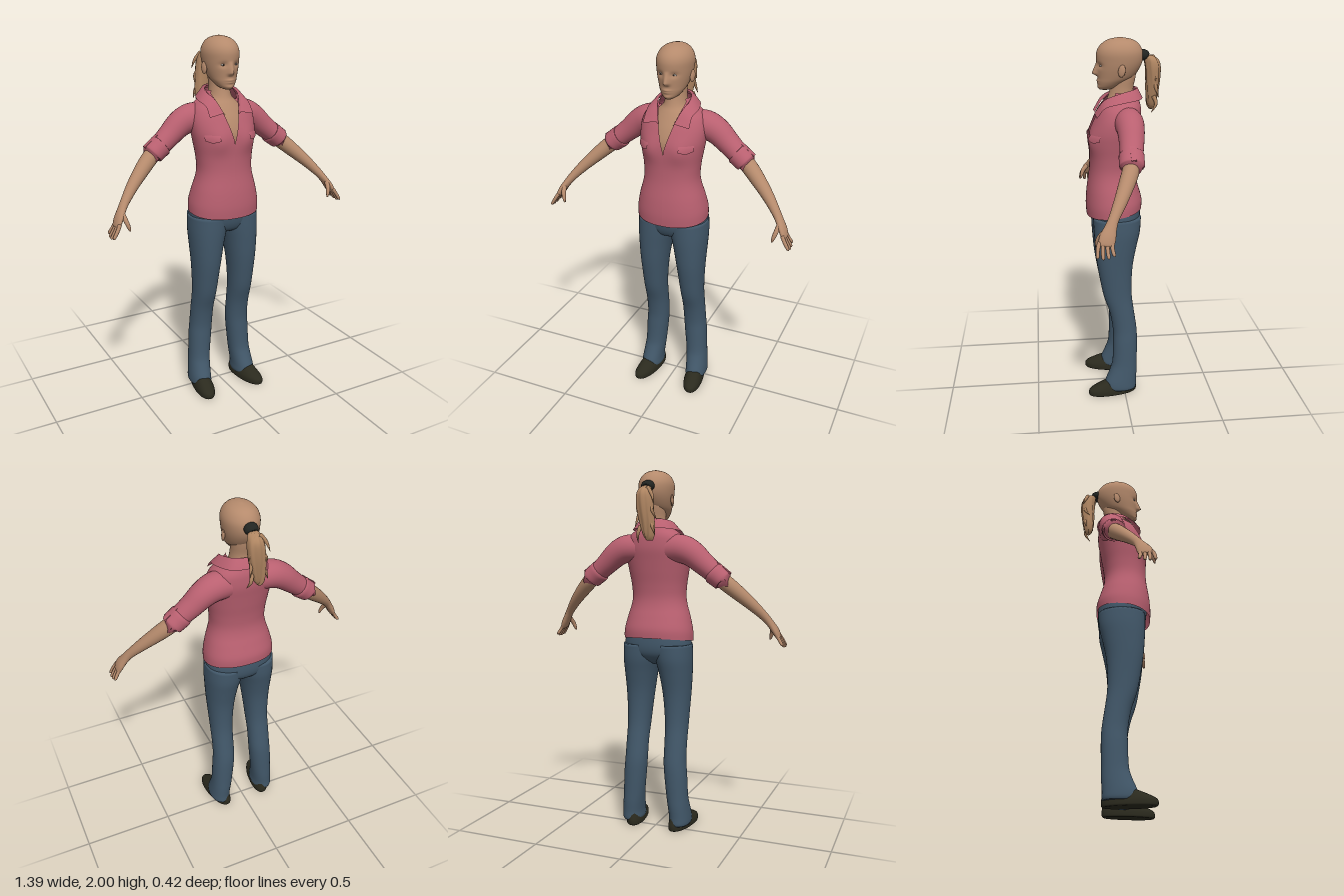
import * as THREE from 'three';

const mat = (name, color, side = THREE.FrontSide) => {
  const m = new THREE.MeshStandardMaterial({ color, side });
  m.name = name;
  return m;
};
const V = (x, y, z) => new THREE.Vector3(x, y, z);

// Surface through a list of point rings, optionally closed around and capped at the ends
function skin(rings, closed = true, capStart = false, capEnd = false) {
  const n = rings[0].length, pos = [], idx = [];
  rings.forEach(r => r.forEach(p => pos.push(p.x, p.y, p.z)));
  for (let i = 0; i < rings.length - 1; i++)
    for (let j = 0; j < (closed ? n : n - 1); j++) {
      const k = (j + 1) % n, a = i * n + j, b = i * n + k;
      idx.push(a, b, b + n, a, b + n, a + n);
    }
  const cap = (ring, start, flip) => {
    const c = ring.reduce((s, p) => s.add(p), V(0, 0, 0)).divideScalar(n);
    const ci = pos.length / 3;
    pos.push(c.x, c.y, c.z);
    for (let j = 0; j < n; j++) {
      const a = start + j, b = start + (j + 1) % n;
      idx.push(...(flip ? [b, a, ci] : [a, b, ci]));
    }
  };
  if (capStart) cap(rings[0], 0, true);
  if (capEnd) cap(rings[rings.length - 1], (rings.length - 1) * n, false);
  const g = new THREE.BufferGeometry();
  g.setAttribute('position', new THREE.Float32BufferAttribute(pos, 3));
  g.setIndex(idx);
  g.computeVertexNormals();
  return g;
}

// Catmull-Rom refinement of a table of section rows
function refine(rows, steps) {
  const out = [], at = i => rows[Math.min(rows.length - 1, Math.max(0, i))];
  for (let i = 0; i < rows.length - 1; i++)
    for (let s = 0; s < steps; s++) {
      const t = s / steps;
      out.push(rows[i].map((_, k) => {
        const [a, b, c, d] = [at(i - 1)[k], at(i)[k], at(i + 1)[k], at(i + 2)[k]];
        return b + 0.5 * t * (c - a + t * (2 * a - 5 * b + 4 * c - d + t * (3 * (b - c) + d - a)));
      }));
    }
  out.push(rows[rows.length - 1]);
  return out;
}

// Point on a level oval section: row = [y, xMin, xMax, zFront, zBack]
function oval([y, x0, x1, zf, zb], a, e = 2) {
  const pw = v => Math.sign(v) * Math.abs(v) ** (2 / e);
  return V((x0 + x1) / 2 + (x1 - x0) / 2 * pw(Math.sin(a)), y, (zf + zb) / 2 + (zf - zb) / 2 * pw(Math.cos(a)));
}
const angles = n => Array.from({ length: n }, (_, j) => j / n * Math.PI * 2);
const sym = rows => rows.map(([y, w, f, b]) => [y, -w, w, f, b]);
const body = (rows, steps, n, e = 2, fix = p => p) =>
  skin(refine(rows, steps).map(r => angles(n).map(a => fix(oval(r, a, e)))), true, true, true);

// Limb along a path: row = [x, y, z, radius along z, radius across]
function limb(rows, steps = 5, n = 20, caps = true) {
  const rs = refine(rows, steps), c = rs.map(r => V(r[0], r[1], r[2]));
  return skin(rs.map((r, i) => {
    const d = c[Math.min(i + 1, c.length - 1)].clone().sub(c[Math.max(i - 1, 0)]).normalize();
    const a = V(0, 0, 1).addScaledVector(d, -d.z).normalize(), b = d.clone().cross(a);
    return angles(n).map(t => c[i].clone().addScaledVector(a, r[3] * Math.cos(t)).addScaledVector(b, r[4] * Math.sin(t)));
  }), true, caps, caps);
}

function mirror(geo) {
  const g = geo.clone().scale(-1, 1, 1), ix = g.index.array;
  for (let i = 0; i < ix.length; i += 3) [ix[i], ix[i + 1]] = [ix[i + 1], ix[i]];
  g.computeVertexNormals();
  return g;
}
const bump = (x, y, w, h) => Math.exp(-((x / w) ** 2) - (y / h) ** 2);

export function createModel() {
  const group = new THREE.Group();
  group.name = 'woman';
  const skinMat = mat('skin', 0xb58a6c), shirt = mat('pink shirt', 0xb96070, THREE.DoubleSide),
    denim = mat('blue trousers', 0x42586a), shoeMat = mat('dark shoe', 0x2b2a1e),
    hair = mat('hair', 0xb08662), tie = mat('hair tie', 0x222421),
    white = mat('eye white', 0xd8d0c8), iris = mat('iris', 0x3a2c24);
  const add = (name, geo, m) => {
    const mesh = new THREE.Mesh(geo, m);
    mesh.name = name;
    group.add(mesh);
  };
  const pair = (name, geo, m) => {
    add(name + 'Left', geo, m);
    add(name + 'Right', mirror(geo), m);
  };

  // Head with brow, sockets, nose and lips pushed out of an oval loft
  const headRows = sym([[1.736, .02, .116, .06], [1.75, .042, .124, .02], [1.775, .061, .127, -.02],
    [1.8, .073, .128, -.06], [1.84, .085, .131, -.09], [1.88, .092, .133, -.107], [1.92, .094, .133, -.11],
    [1.95, .086, .122, -.1], [1.975, .068, .098, -.08], [1.991, .042, .068, -.05], [2, .008, .026, -.006]]);
  add('head', body(headRows, 8, 96, 2, p => {
    if (p.z < 0.05) return p;
    const up = (1.878 - p.y) / 0.058, low = (p.y - 1.803) / 0.017;
    const nose = Math.max(0, Math.min(up, low));
    p.z += 0.028 * nose * Math.exp(-((p.x / 0.015) ** 2));
    p.z -= 0.009 * bump(Math.abs(p.x) - 0.036, p.y - 1.862, 0.02, 0.014);
    p.z += 0.006 * bump(p.x, p.y - 1.783, 0.022, 0.006) + 0.005 * bump(p.x, p.y - 1.771, 0.02, 0.005);
    p.z += 0.005 * bump(p.x, p.y - 1.748, 0.022, 0.01);
    return p;
  }), skinMat);
  const ball = (sx, sy, sz, x, y, z) => new THREE.SphereGeometry(1, 20, 14).scale(sx, sy, sz).translate(x, y, z);
  pair('eye', ball(.012, .005, .005, .036, 1.862, .114), white);
  pair('iris', ball(.0045, .0045, .003, .036, 1.862, .1175), iris);
  pair('ear', ball(.009, .032, .019, 0, 0, 0).rotateY(-.3).rotateX(-.15).translate(.091, 1.84, .01), skinMat);

  // Neck and chest seen through the open collar
  add('neckAndChest', body(sym([[1.4, .11, .15, -.03], [1.47, .13, .162, -.05], [1.52, .135, .162, -.06],
    [1.58, .13, .141, -.075], [1.63, .115, .114, -.08], [1.66, .092, .096, -.078], [1.69, .064, .078, -.068],
    [1.74, .054, .064, -.06], [1.8, .054, .06, -.072], [1.86, .05, .05, -.08]]), 4, 40), skinMat);

  // Ponytail, tie and loose wisps
  add('hairTie', limb([[0, 1.915, -.095, .026, .03], [0, 1.912, -.108, .029, .036],
    [0, 1.905, -.124, .028, .034], [0, 1.9, -.132, .02, .024]].map(([x, y, z, a, b]) => [x, y, z, a, b])), tie);
  const tailRows = [[1.625, -.045, -.015, -.15, -.168], [1.65, -.055, .005, -.137, -.18], [1.7, -.06, .022, -.13, -.19],
    [1.77, -.055, .036, -.128, -.2], [1.83, -.05, .042, -.125, -.203], [1.87, -.043, .04, -.12, -.198],
    [1.895, -.034, .033, -.115, -.18], [1.91, -.018, .018, -.118, -.155]];
  add('ponytail', body(tailRows, 4, 28, 2, p => {
    const a = Math.atan2(p.x + .01, p.z + .16);
    p.z += 0.004 * Math.sin(a * 7 + p.y * 12);
    return p;
  }), hair);
  for (let i = 0; i < 6; i++) {
    const s = i % 2 ? 1 : -1, y = 1.86 - i * .04;
    add('wisp' + i, limb([[s * .02, y + .04, -.165, .012, .012], [s * .04 - .01, y, -.178, .009, .009],
      [s * .052 - .012, y - .045, -.19 + (i % 3) * .02, .001, .001]], 4, 8), hair);
  }

  // Shirt body, split down the front into an open V
  const torso = refine(sym([[1.06, .196, .196, -.105], [1.12, .194, .199, -.105], [1.2, .178, .193, -.087],
    [1.3, .153, .179, -.064], [1.38, .155, .176, -.067], [1.46, .168, .179, -.08], [1.52, .177, .174, -.09],
    [1.58, .178, .154, -.1], [1.63, .164, .13, -.1], [1.66, .14, .11, -.096], [1.69, .1, .09, -.086],
    [1.725, .075, .07, -.074]]), 5);
  const torsoPoint = (row, a, out = 0) => {
    const p = oval(row, a, 2.2), y = row[0];
    if (Math.cos(a) > 0) p.z += 0.013 * bump(Math.abs(p.x) - 0.085, y - 1.475, 0.05, 0.06);
    p.y += Math.max(0, 1 - (y - 1.06) / 0.2) * 0.02 * (1 - Math.cos(a));
    return p.add(V(Math.sin(a) * out, 0, Math.cos(a) * out));
  };
  add('shirtBody', skin(torso.map(r => {
    const half = Math.min(Math.max(0, r[0] - 1.47) * .3, r[2] * .85);
    const a0 = Math.asin((half / r[2]) ** 1.1);
    return Array.from({ length: 65 }, (_, j) => torsoPoint(r, a0 + (Math.PI * 2 - 2 * a0) * j / 64));
  }), false), shirt);

  // Breast pocket flaps following the shirt
  const rowAt = y => {
    const i = torso.findIndex(r => r[0] > y), a = torso[i - 1], b = torso[i], t = (y - a[0]) / (b[0] - a[0]);
    return a.map((v, k) => v + (b[k] - v) * t);
  };
  pair('pocketFlap', skin([0, 1, 2].map(i => Array.from({ length: 9 }, (_, j) =>
    torsoPoint(rowAt(1.485 + .0145 * i - (i ? 0 : .01 * (1 - Math.abs(j - 4) / 4))),
      .45 + .065 * j, i === 2 ? .002 : .008))), false), shirt);

  // Folded collar: a strip from the neck edge over a fold to the pointed outer edge
  const half = [
    [[.04, 1.61, .142], [.066, 1.675, .095], [.084, 1.715, .03], [.06, 1.732, -.045], [0, 1.738, -.072]],
    [[.05, 1.622, .15], [.078, 1.69, .1], [.096, 1.722, .03], [.068, 1.74, -.052], [0, 1.744, -.082]],
    [[.128, 1.605, .143], [.128, 1.655, .1], [.136, 1.676, .03], [.094, 1.69, -.078], [0, 1.692, -.108]]];
  const edges = half.map(h => new THREE.CatmullRomCurve3([...h, ...h.slice(0, 4).reverse()
    .map(([x, y, z]) => [-x, y, z])].map(p => V(...p))).getPoints(48));
  add('collar', skin([edges[2], edges[1], edges[0]], false), shirt);

  // Sleeves, rolled cuffs and their tabs
  pair('sleeve', limb([[.09, 1.585, -.015, .075, .075], [.16, 1.582, -.02, .076, .076], [.22, 1.555, -.022, .07, .07],
    [.28, 1.505, -.018, .063, .061], [.34, 1.455, -.01, .058, .054]], 5, 28, false), shirt);
  pair('cuff', limb([[.33, 1.461, -.011, .055, .05], [.335, 1.457, -.011, .064, .06], [.36, 1.438, -.009, .064, .059],
    [.386, 1.418, -.007, .063, .057], [.389, 1.415, -.007, .052, .047], [.375, 1.426, -.008, .042, .04]], 3, 28, false), shirt);
  pair('cuffTab', new THREE.BoxGeometry(.09, .008, .026).rotateZ(-.66).translate(.393, 1.482, -.012), shirt);

  // Arms, hands and fingers
  pair('arm', limb([[.32, 1.47, -.01, .042, .042], [.39, 1.412, -.003, .043, .043], [.45, 1.36, .022, .041, .04],
    [.53, 1.285, .065, .033, .031], [.59, 1.22, .104, .026, .023], [.618, 1.183, .122, .03, .02],
    [.64, 1.148, .137, .039, .019], [.655, 1.118, .146, .038, .015], [.66, 1.107, .148, .03, .009]], 5, 24), skinMat);
  for (let i = 0; i < 4; i++) {
    const b = .118 + .02 * i, len = [.85, 1, 1.04, .95][i], t = .112 + .026 * i;
    pair('finger' + i, limb([[.65, 1.128, b, .01, .01], [.668, 1.098, (b + t) / 2 + .003, .0095, .0095],
      [.66 + .028 * len, 1.12 - .055 * len, t, .008, .008], [.66 + .029 * len, 1.12 - .062 * len, t, .003, .003]], 4, 12), skinMat);
  }
  pair('thumb', limb([[.625, 1.172, .145, .014, .014], [.616, 1.14, .174, .013, .012],
    [.608, 1.112, .186, .01, .01], [.602, 1.09, .19, .004, .004]], 4, 12), skinMat);

  // Trousers: hips and two legs
  add('hips', body(sym([[.95, .05, .08, -.02], [.975, .13, .135, -.06], [1.01, .18, .158, -.088],
    [1.06, .19, .17, -.098], [1.13, .183, .18, -.095]]), 4, 48, 2.2), denim);
  pair('trouserLeg', body([[.03, .088, .198, .108, -.062], [.045, .083, .203, .116, -.066], [.08, .083, .202, .11, -.066],
    [.14, .078, .196, .085, -.07], [.2, .072, .191, .068, -.071], [.32, .06, .186, .064, -.073], [.4, .055, .18, .065, -.07],
    [.5, .054, .178, .082, -.056], [.6, .05, .178, .114, -.043], [.7, .042, .182, .134, -.042], [.8, .03, .188, .15, -.05],
    [.9, .013, .194, .159, -.07], [.98, -.006, .197, .164, -.088], [1.06, -.02, .194, .166, -.094]], 4, 36, 2.15), denim);

  // Shoes, toes turned slightly out
  pair('shoe', body([[0, .092, .19, .2, -.062], [.006, .087, .196, .208, -.068], [.025, .087, .196, .209, -.07],
    [.04, .09, .193, .198, -.068], [.06, .097, .187, .16, -.063], [.085, .105, .18, .1, -.055]], 4, 36, 2.2, p => {
    p.x += 0.14 * (p.z - 0.05);
    return p;
  }), shoeMat);
  return group;
}
